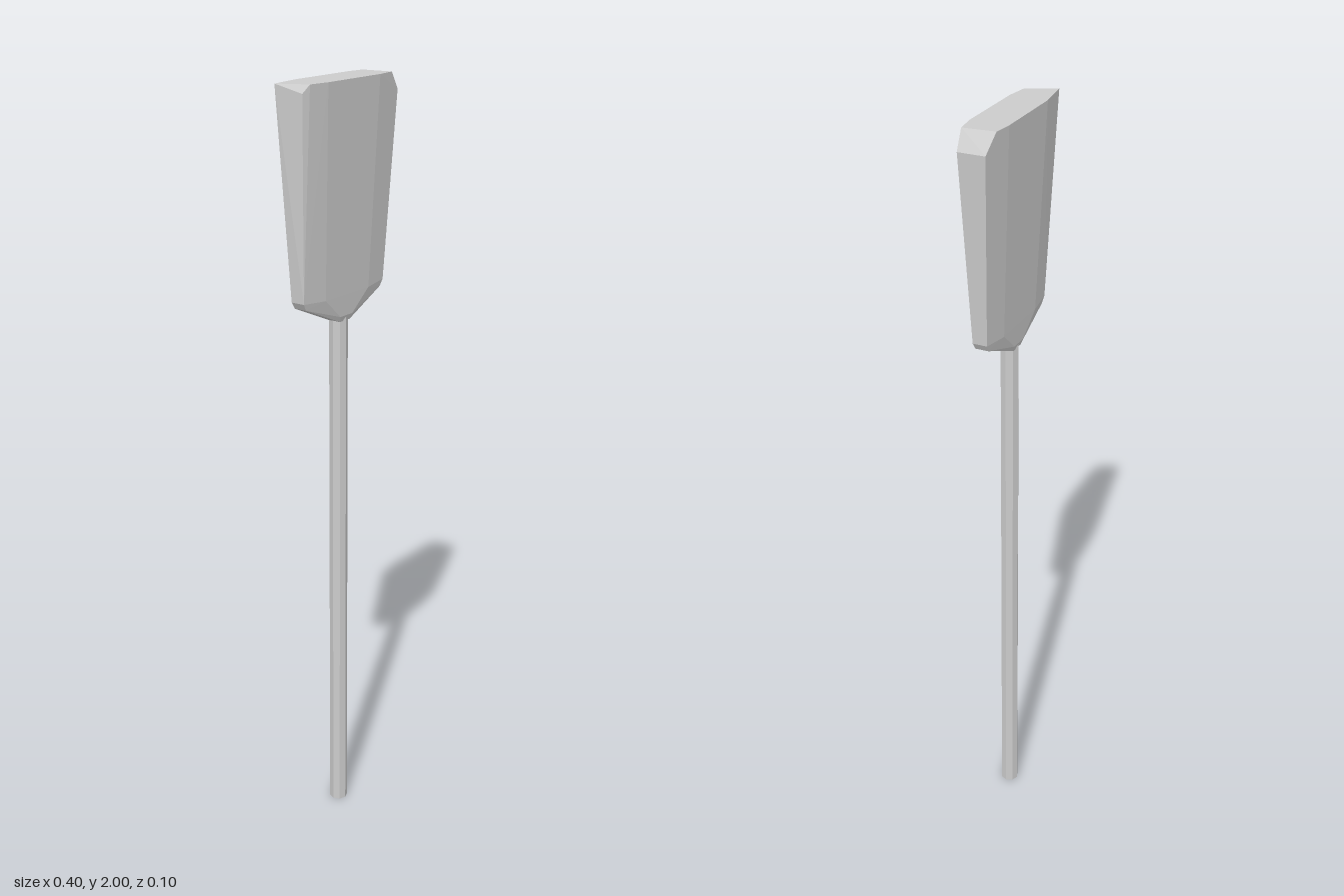
import * as THREE from 'three';
import { ConvexGeometry } from 'three/addons/geometries/ConvexGeometry.js';

const material = new THREE.MeshStandardMaterial({ color: 0xcccccc, flatShading: true });

function addPart(group, name, geometry) {
  const mesh = new THREE.Mesh(geometry, material);
  mesh.name = name;
  group.add(mesh);
  return mesh;
}

export function createModel() {
  const group = new THREE.Group();
  group.name = 'paddle';

  // Long straight faceted handle
  const handle = addPart(group, 'handle', new THREE.CylinderGeometry(0.024, 0.024, 1.41, 8));
  handle.position.y = 0.705;

  // Top edge, with one sharp corner and one clipped corner
  const points = [
    [-0.2, 2, -0.036], [-0.165, 2, 0.041], [-0.184, 1.98, 0.033],
    [0.158, 2, -0.043], [0.165, 2, 0.041],
    [0.2, 1.955, -0.036], [0.2, 1.955, 0.035],
  ];

  // Mirrored bevels, rounded shoulders and tapered throat
  for (const sx of [-1, 1]) {
    for (const sz of [-1, 1]) {
      points.push(
        [sx * 0.105, 2, sz * 0.049],
        [sx * 0.166, 1.475, sz * 0.019],
        [sx * 0.156, 1.458, sz * 0.017],
        [sx * 0.09, 1.47, sz * 0.028],
        [sx * 0.025, 1.415, sz * 0.025],
        [sx * 0.02, 1.4, sz * 0.02],
      );
    }
  }
  addPart(group, 'blade', new ConvexGeometry(points.map((p) => new THREE.Vector3(...p))));

  return group;
}
